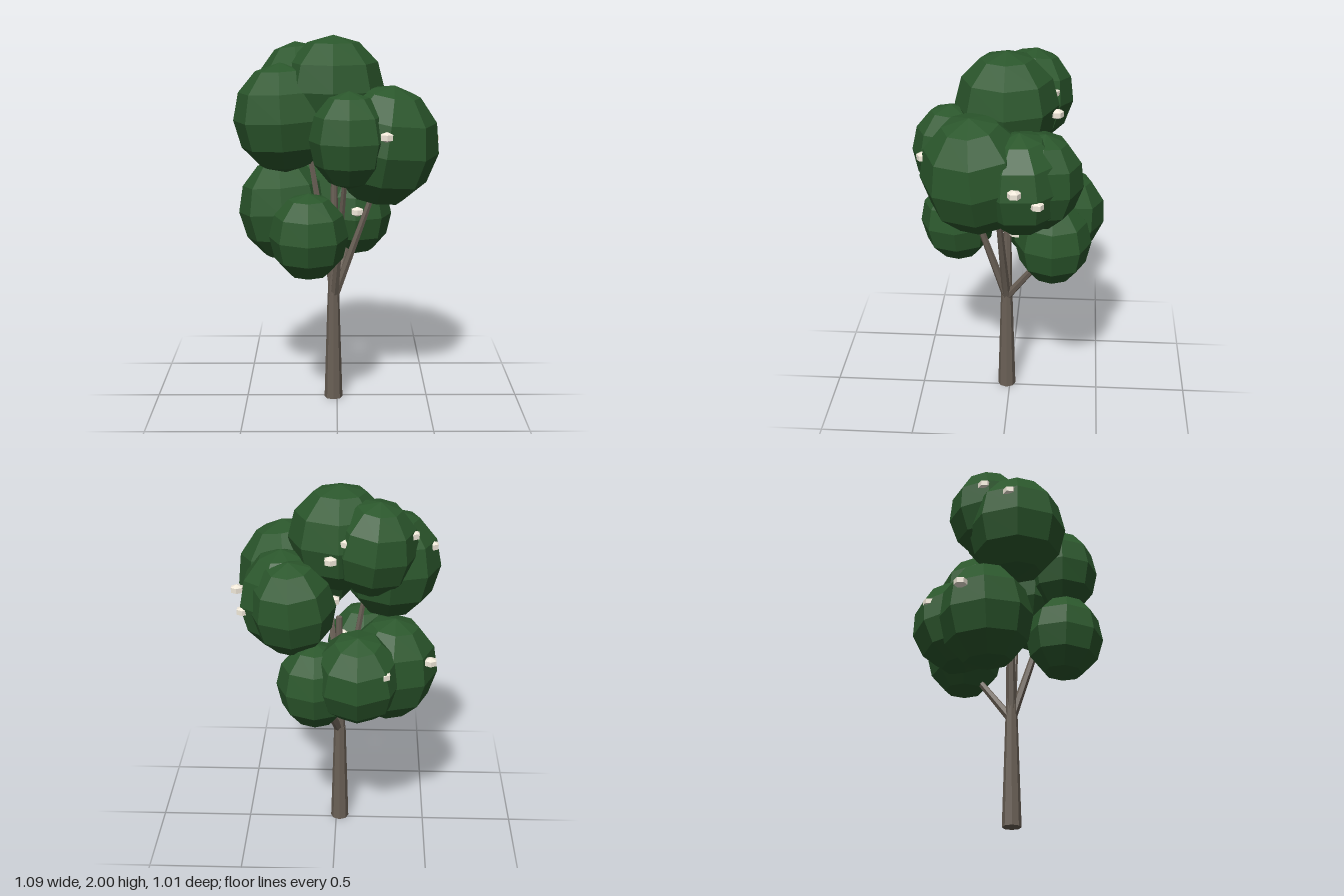
import * as THREE from 'three';

const mat = (color) => new THREE.MeshStandardMaterial({ color, flatShading: true });
const leaf = mat(0x2b572c), bark = mat(0x6a6056), petal = mat(0xf2eadb);

// tapered limb between two points
function limb(name, from, to, r0, r1, sides) {
  const a = new THREE.Vector3(...from), b = new THREE.Vector3(...to);
  const dir = b.clone().sub(a);
  const mesh = new THREE.Mesh(new THREE.CylinderGeometry(r1, r0, dir.length(), sides), bark);
  mesh.position.copy(a).add(b).multiplyScalar(0.5);
  mesh.quaternion.setFromUnitVectors(new THREE.Vector3(0, 1, 0), dir.normalize());
  mesh.name = name;
  return mesh;
}

// leaf clumps: x, y, z, radius, half height, lean about x, turn about y, lean about z
const clumps = [
  [-0.02, 1.72, 0.015, 0.27, 0.28, 0, 0, 0],
  [-0.2, 1.705, -0.1, 0.225, 0.255, -0.12, 0, 0.1],
  [-0.285, 1.57, 0.045, 0.262, 0.29, 0, 0, 0.05],
  [0.245, 1.44, 0.156, 0.287, 0.32, 0.08, 0, -0.15],
  [0.06, 1.49, 0.297, 0.205, 0.25, 0, 0, 0],
  [0.268, 1.405, -0.075, 0.24, 0.275, 0.05, Math.PI / 8, -0.05],
  [0.222, 1.4, -0.165, 0.228, 0.26, -0.12, 0, -0.05],
  [-0.147, 0.99, 0.297, 0.205, 0.23, 0.05, 0, 0],
  [0.1, 0.995, -0.237, 0.205, 0.235, 0, 0, 0],
  [-0.12, 1.06, -0.275, 0.237, 0.25, -0.2, 0, 0],
  [-0.29, 1.045, -0.12, 0.25, 0.287, -0.05, 0, 0.08],
];

// blossom positions
const blossoms = [
  [0.245, 1.525, 0.42], [0.515, 1.45, -0.055], [0.475, 1.375, -0.165],
  [0.02, 1.685, -0.245], [-0.06, 1.77, -0.22], [-0.39, 1.785, -0.13],
  [-0.495, 1.68, 0.005], [-0.255, 1.14, -0.415], [-0.495, 1.137, -0.245],
  [0.11, 1.045, -0.04], [-0.03, 1.095, 0.17], [0.01, 1.43, -0.14],
];

export function createModel() {
  const tree = new THREE.Group();
  tree.name = 'tree';

  // trunk and its slimmer leader
  tree.add(limb('trunk', [-0.02, 0, 0.018], [-0.02, 0.6, 0.018], 0.05, 0.032, 8));
  tree.add(limb('leader', [-0.02, 0.59, 0.018], [-0.015, 1.27, 0.01], 0.03, 0.017, 8));

  // branches fanning out from the fork
  const fork = [-0.015, 0.58, 0.018];
  const tips = [[0.225, 1.26, 0.05], [-0.15, 1.4, 0.01], [0.04, 1.28, 0.24], [0.09, 0.95, -0.24]];
  for (const tip of tips) tree.add(limb('branch', fork, tip, 0.024, 0.014, 6));

  // foliage
  const ball = new THREE.SphereGeometry(1, 8, 6);
  for (const [x, y, z, r, h, leanX, turn, leanZ] of clumps) {
    const clump = new THREE.Mesh(ball, leaf);
    clump.position.set(x, y, z);
    clump.scale.set(r, h, r);
    clump.rotation.set(leanX, turn, leanZ);
    clump.name = 'leafClump';
    tree.add(clump);
  }

  // blossoms
  const bud = new THREE.SphereGeometry(0.04, 6, 3);
  for (const [x, y, z] of blossoms) {
    const blossom = new THREE.Mesh(bud, petal);
    blossom.position.set(x, y, z);
    blossom.scale.y = 0.68;
    blossom.rotation.y = Math.PI / 6;
    blossom.name = 'blossom';
    tree.add(blossom);
  }
  return tree;
}
